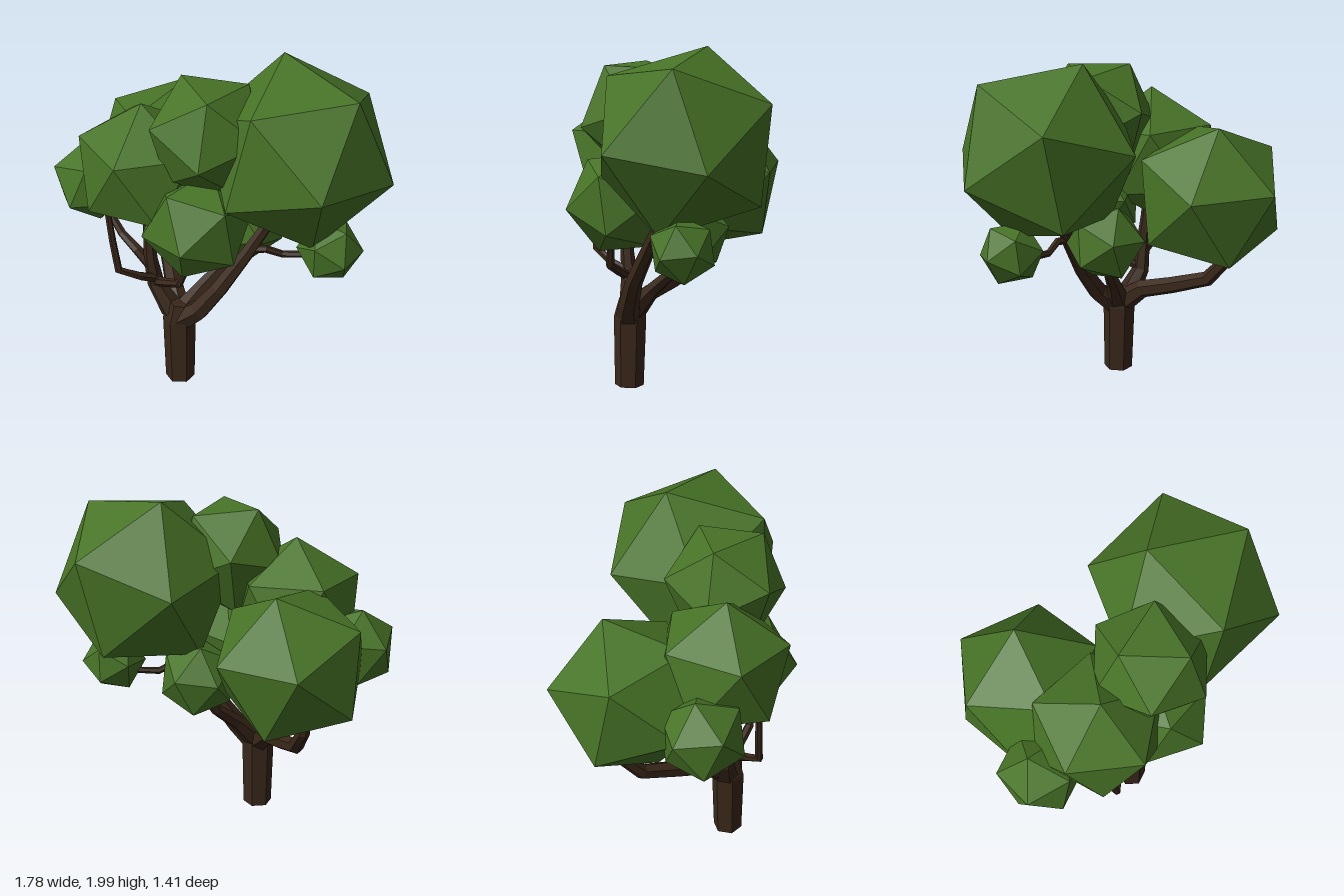
import * as THREE from 'three';

const leafMat = new THREE.MeshStandardMaterial({ color: 0x477326, flatShading: true });
const barkMat = new THREE.MeshStandardMaterial({ color: 0x3a281a, flatShading: true });

// Orthonormal frame whose first axis is a and whose second lies towards b
function frame(a, b) {
  const x = a.clone().normalize();
  const z = a.clone().cross(b).normalize();
  return new THREE.Matrix4().makeBasis(x, z.clone().cross(x), z);
}

// Icosahedron turned so that two neighbouring corners point towards p and q
function leafClump(name, center, radius, p, q) {
  const c = new THREE.Vector3(...center);
  const t = (1 + Math.sqrt(5)) / 2;
  const from = frame(new THREE.Vector3(-1, t, 0), new THREE.Vector3(1, t, 0));
  const to = frame(new THREE.Vector3(...p).sub(c), new THREE.Vector3(...q).sub(c));
  const geo = new THREE.IcosahedronGeometry(radius, 0);
  geo.applyMatrix4(to.multiply(from.transpose()));
  const mesh = new THREE.Mesh(geo, leafMat);
  mesh.position.copy(c);
  mesh.name = name;
  return mesh;
}

// Tapered limb through points [x, y, z, radius], closed at both ends
function limb(name, points, sides = 6) {
  const pts = points.map(p => new THREE.Vector3(p[0], p[1], p[2]));
  const n = pts.length;
  const pos = [];
  const idx = [];
  let u = new THREE.Vector3(0.35, 0, 1);
  pts.forEach((p, i) => {
    const t = pts[Math.min(i + 1, n - 1)].clone().sub(pts[Math.max(i - 1, 0)]).normalize();
    u = u.clone().addScaledVector(t, -u.dot(t)).normalize();
    const v = t.clone().cross(u);
    for (let k = 0; k < sides; k++) {
      const a = (k / sides) * Math.PI * 2;
      const c = p.clone()
        .addScaledVector(u, Math.cos(a) * points[i][3])
        .addScaledVector(v, Math.sin(a) * points[i][3]);
      pos.push(c.x, c.y, c.z);
    }
  });
  for (let i = 0; i < n - 1; i++) {
    for (let k = 0; k < sides; k++) {
      const a = i * sides + k;
      const b = i * sides + (k + 1) % sides;
      idx.push(a, b, b + sides, a, b + sides, a + sides);
    }
  }
  const last = (n - 1) * sides;
  for (let k = 1; k < sides - 1; k++) {
    idx.push(0, k + 1, k, last, last + k, last + k + 1);
  }
  const geo = new THREE.BufferGeometry();
  geo.setAttribute('position', new THREE.Float32BufferAttribute(pos, 3));
  geo.setIndex(idx);
  const flat = geo.toNonIndexed();
  flat.computeVertexNormals();
  const mesh = new THREE.Mesh(flat, barkMat);
  mesh.name = name;
  return mesh;
}

export function createModel() {
  const tree = new THREE.Group();
  tree.name = 'tree';

  // Trunk and limbs
  const wood = new THREE.Group();
  wood.name = 'wood';
  wood.add(
    limb('trunk', [[0.01, 0.01, 0.3, 0.085], [0.005, 0.42, 0.295, 0.095], [0.01, 0.53, 0.285, 0.07]]),
    limb('rightLimb', [[0, 0.43, 0.29, 0.075], [-0.13, 0.54, 0.23, 0.055], [-0.3, 0.595, 0.14, 0.05],
      [-0.5, 0.67, 0.04, 0.045], [-0.61, 0.82, -0.03, 0.035], [-0.63, 0.92, -0.04, 0.03]]),
    limb('leftLimb', [[0.03, 0.43, 0.29, 0.075], [0.13, 0.52, 0.245, 0.06], [0.22, 0.68, 0.17, 0.05],
      [0.3, 0.9, 0.04, 0.04], [0.37, 1.14, -0.1, 0.03]]),
    limb('middleLimb', [[-0.04, 0.46, 0.31, 0.07], [-0.13, 0.62, 0.36, 0.05], [-0.145, 0.78, 0.38, 0.04],
      [-0.16, 0.95, 0.38, 0.03], [-0.17, 1.1, 0.38, 0.025]]),
    limb('backLimb', [[0.01, 0.45, 0.28, 0.07], [0.04, 0.6, 0.14, 0.045], [0.07, 0.72, 0, 0.035],
      [0.09, 0.85, -0.08, 0.025]]),
    limb('outerBranch', [[-0.15, 0.74, 0.38, 0.035], [-0.22, 0.82, 0.42, 0.03], [-0.34, 0.88, 0.44, 0.025],
      [-0.45, 1, 0.46, 0.02]]),
    limb('innerBranch', [[-0.13, 0.63, 0.36, 0.03], [-0.03, 0.68, 0.38, 0.027], [0.11, 0.74, 0.37, 0.025],
      [0.16, 0.88, 0.34, 0.02], [0.17, 0.96, 0.33, 0.02]]),
    limb('frontBranch', [[-0.11, 0.66, 0.36, 0.03], [-0.12, 0.71, 0.47, 0.025], [-0.16, 0.78, 0.59, 0.023],
      [-0.19, 0.95, 0.6, 0.02], [-0.22, 1.18, 0.61, 0.017]]),
    limb('sideTwig', [[0.31, 0.93, 0.02, 0.025], [0.37, 0.94, -0.04, 0.022], [0.42, 0.9, -0.12, 0.02],
      [0.54, 0.91, -0.24, 0.018]])
  );
  tree.add(wood);

  // Leaf clumps: centre, radius, two neighbouring corners
  const crown = new THREE.Group();
  crown.name = 'crown';
  crown.add(
    leafClump('largeClump', [0.42, 1.51, -0.215], 0.535, [0.22, 2, -0.27], [0.78, 1.9, -0.3]),
    leafClump('rightClump', [-0.5, 1.195, -0.017], 0.455, [-0.52, 1.62, -0.175], [-0.86, 1.44, 0.11]),
    leafClump('frontClump', [-0.21, 1.347, 0.36], 0.395, [-0.19, 1.74, 0.38], [-0.03, 1.5, 0.68]),
    leafClump('topClump', [0.13, 1.62, 0.175], 0.345, [-0.055, 1.91, 0.21], [0.31, 1.89, 0.31]),
    leafClump('smallRightClump', [-0.555, 1.155, 0.47], 0.245, [-0.61, 1.39, 0.46], [-0.67, 1.25, 0.67]),
    leafClump('lowerFrontClump', [0.165, 1.12, 0.28], 0.31, [0.165, 1.38, 0.5], [0.01, 1.08, 0.58]),
    leafClump('smallLeftClump', [0.62, 0.965, -0.29], 0.185, [0.73, 1.11, -0.3], [0.8, 0.95, -0.24]),
    leafClump('lowerBackClump', [0.1, 0.96, -0.12], 0.23, [0.17, 0.75, -0.07], [-0.08, 0.85, -0.02])
  );
  tree.add(crown);
  return tree;
}
